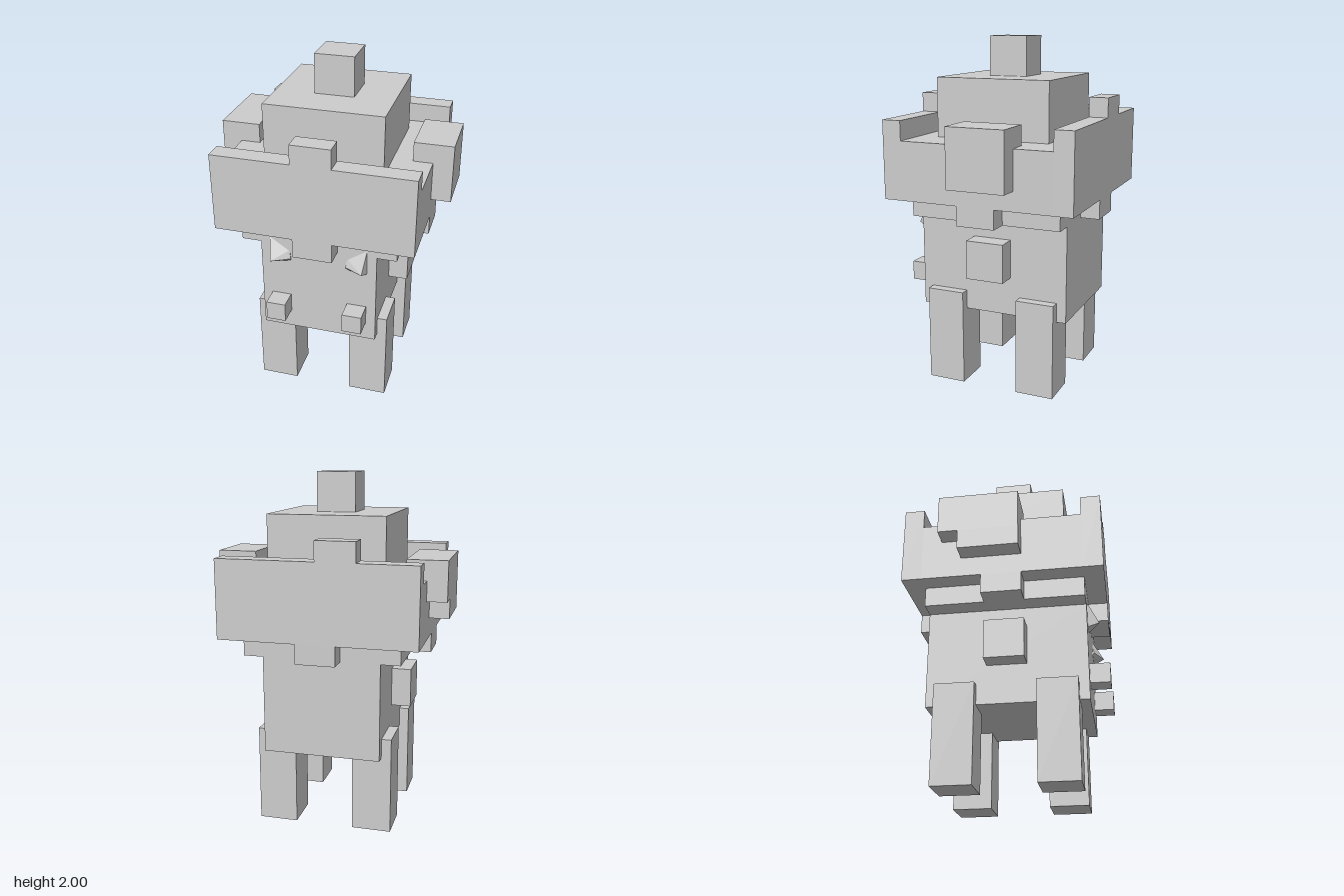
import * as THREE from 'three';
import { ConvexGeometry } from 'three/addons/geometries/ConvexGeometry.js';

const U = 1 / 9; // one block unit

export function createModel() {
  const group = new THREE.Group();
  const grey = new THREE.MeshStandardMaterial({ color: 0xcccccc });
  grey.name = 'plain grey';

  const add = (name, geometry) => {
    const mesh = new THREE.Mesh(geometry, grey);
    mesh.name = name;
    group.add(mesh);
    return mesh;
  };

  // Box given by its extents in block units
  const box = (name, x0, x1, y0, y1, z0, z1) => {
    const mesh = add(name, new THREE.BoxGeometry((x1 - x0) * U, (y1 - y0) * U, (z1 - z0) * U));
    mesh.position.set((x0 + x1) / 2 * U, (y0 + y1) / 2 * U, (z0 + z1) / 2 * U);
  };

  // Body
  box('body', -3, 3, 4, 9, -4, 4);

  // Hat: underside collar, brim, dome and knob
  box('hatCollar', -4, 4, 9, 10, -4, 4);
  box('hatBrim', -5, 5, 10, 13, -4, 4);
  box('hatDome', -3, 3, 13, 16, -3, 3);
  box('hatKnob', -1, 1, 16, 18, -1, 1);

  // Raised front and back walls with notched edges
  box('frontWall', -5, 5, 10, 14, 4, 5);
  box('frontWallBump', -1, 1, 14, 15, 4, 5);
  box('frontTooth', -1, 1, 9, 10, 4, 5);
  box('backWall', -5, 5, 10, 14, -5, -4);
  box('backWallBump', -2, 0, 14, 15, -5, -4);
  box('backTooth', -1, 1, 9, 10, -5, -4);

  // Side growths on the hat
  box('leftHatLump', 4, 6, 11, 14, -2, 1);
  box('rightHatLump', -6, -4, 12, 14, -3, 1);
  box('rightHatLumpBase', -6, -4, 11, 12, -2, 1);

  // Mirrored parts
  for (const [side, s] of [['left', 1], ['right', -1]]) {
    const pair = (name, x0, x1, ...rest) =>
      box(side + name, Math.min(s * x0, s * x1), Math.max(s * x0, s * x1), ...rest);
    pair('HatTooth', 4, 5, 9, 10, -1, 1);
    pair('Ear', 3, 4, 6, 8, -1, 1);
    pair('Nostril', 1.5, 2.5, 5, 6, 4, 5);
    pair('FrontLeg', 1.5, 3.5, 0, 5, 1.5, 3.5);
    pair('BackLeg', 1.5, 3.5, 0, 5, -3.5, -1.5);

    // Slanted wedge eye poking out of the body front
    const points = [
      [0.28, 1.045, 0.44], [0.28, 0.885, 0.44], [0.158, 0.9, 0.44],
      [0.16, 0.917, 0.455], [0.165, 0.967, 0.44], [0.263, 0.915, 0.508],
    ].map(([x, y, z]) => new THREE.Vector3(s * x, y, z));
    add(side + 'Eye', new ConvexGeometry(points));
  }

  return group;
}
